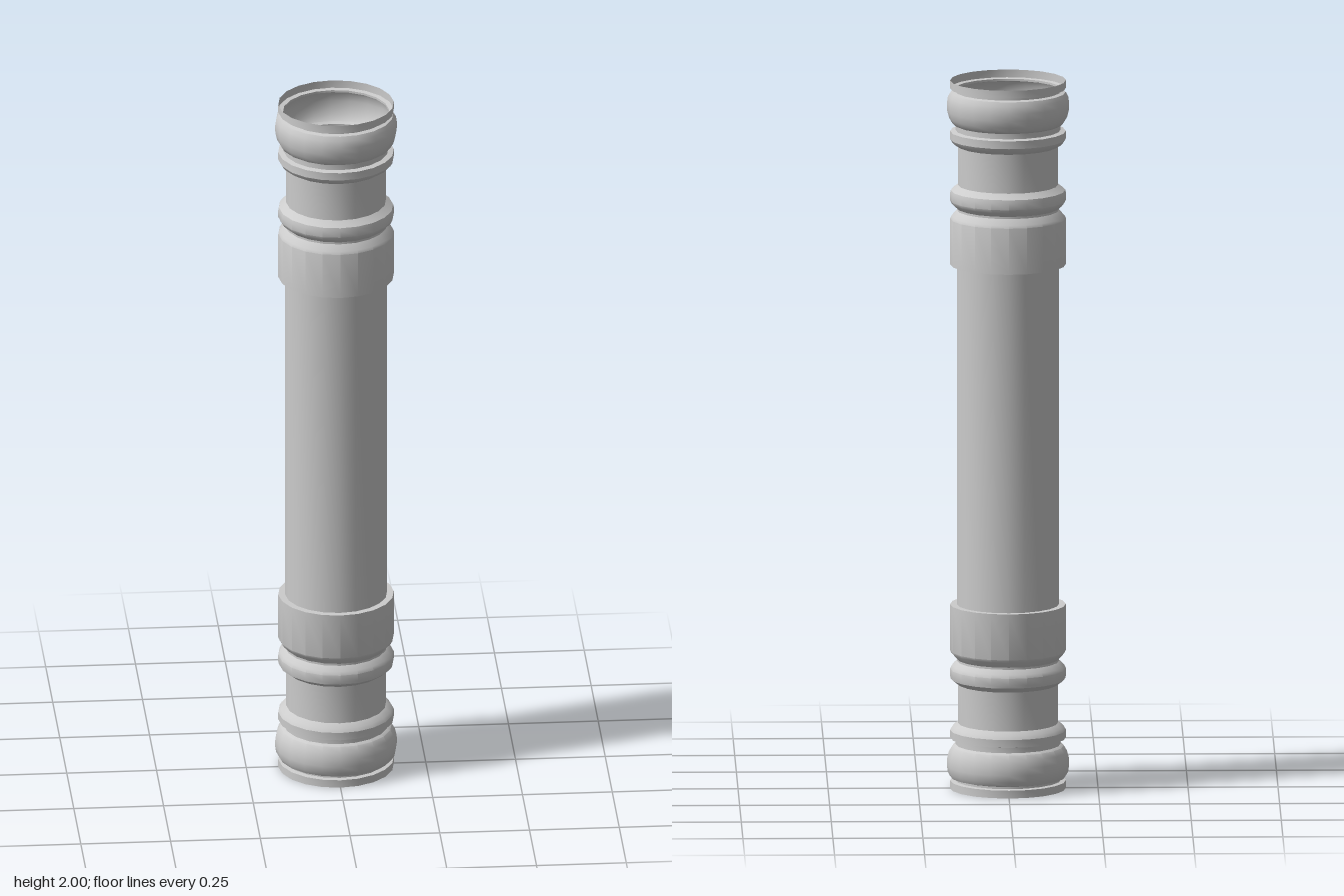
import * as THREE from 'three';
import { toCreasedNormals } from 'three/addons/utils/BufferGeometryUtils.js';

const SIDES = 20;
const HEIGHT = 2;
const material = new THREE.MeshStandardMaterial({ color: 0xcccccc, side: THREE.DoubleSide });

// [radius, height] from the open end towards the shaft
const lip = [[0.161, 0], [0.161, 0.022], [0.148, 0.024], [0.148, 0.03]];
const bulge = [
  [0.148, 0.03], [0.16, 0.033], [0.167, 0.045], [0.17, 0.065], [0.169, 0.085],
  [0.164, 0.105], [0.155, 0.12], [0.146, 0.125], [0.146, 0.14],
];
const narrowRing = [[0.146, 0.14], [0.161, 0.143], [0.161, 0.165], [0.155, 0.175], [0.139, 0.185]];
const neck = [[0.139, 0.185], [0.139, 0.295]];
const wideRing = [[0.139, 0.295], [0.159, 0.31], [0.161, 0.318], [0.161, 0.338], [0.156, 0.348], [0.142, 0.36]];
const collar = [[0.142, 0.36], [0.142, 0.366], [0.157, 0.382], [0.161, 0.39], [0.161, 0.52], [0.142, 0.52]];
const shaft = [[0.142, 0.52], [0.142, HEIGHT - 0.52]];

// Revolve a profile; flipped profiles are measured down from the top
function turned(name, profile, flip = false) {
  const points = profile.map(([r, y]) => new THREE.Vector2(r, flip ? HEIGHT - y : y));
  if (flip) points.reverse();
  const geometry = toCreasedNormals(new THREE.LatheGeometry(points, SIDES), Math.PI / 6);
  const mesh = new THREE.Mesh(geometry, material);
  mesh.name = name;
  return mesh;
}

export function createModel() {
  const model = new THREE.Group();
  model.name = 'hollowColumn';
  model.add(turned('shaft', shaft));

  // Matching mouldings at the foot and the head
  for (const flip of [false, true]) {
    const end = new THREE.Group();
    end.name = flip ? 'head' : 'foot';
    end.add(
      turned('lip', lip, flip),
      turned('bulge', bulge, flip),
      turned('narrowRing', narrowRing, flip),
      turned('neck', neck, flip),
      turned('wideRing', wideRing, flip),
      turned('collar', collar, flip),
    );
    model.add(end);
  }
  return model;
}
